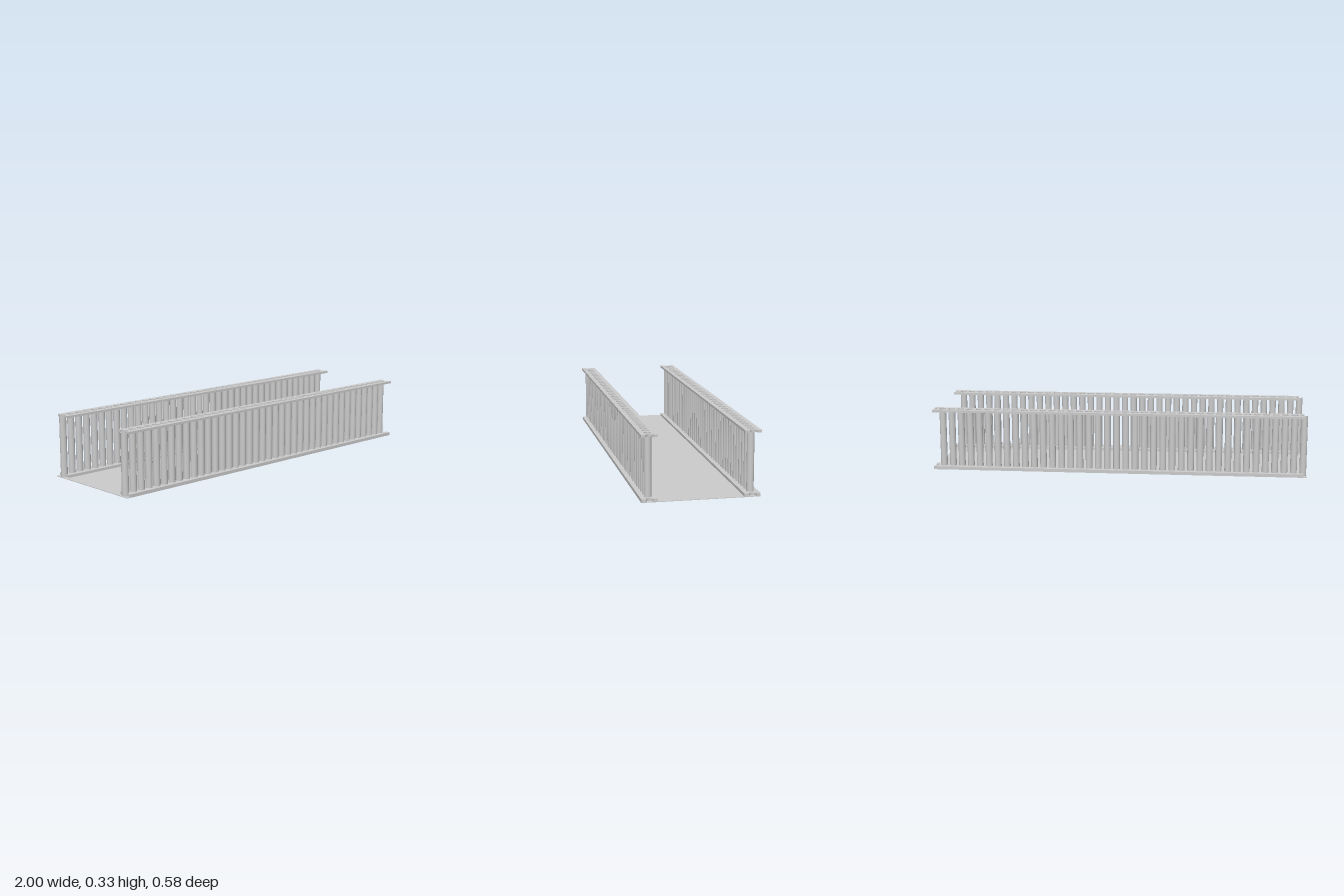
import * as THREE from 'three';

const POSTS = 40, PITCH = 1.98 / POSTS, START = -0.98, END = 1.0;
const RADIUS = 0.018, ROW_Z = 0.252, RAIL_HALF = 0.04;
const BASE_T = 0.003, TOP = 0.327;

// Flat strip pierced by a row of round holes, with half holes at both ends
function railGeometry(thickness) {
  const s = new THREE.Shape();
  s.moveTo(START, -RAIL_HALF);
  s.lineTo(END, -RAIL_HALF);
  s.lineTo(END, -RADIUS);
  s.absarc(END, 0, RADIUS, -Math.PI / 2, -Math.PI * 1.5, true);
  s.lineTo(END, RAIL_HALF);
  s.lineTo(START, RAIL_HALF);
  s.lineTo(START, RADIUS);
  s.absarc(START, 0, RADIUS, Math.PI / 2, -Math.PI / 2, true);
  s.lineTo(START, -RAIL_HALF);
  for (let i = 1; i < POSTS; i++) {
    const hole = new THREE.Path();
    hole.absarc(START + i * PITCH, 0, RADIUS, 0, Math.PI * 2, true);
    s.holes.push(hole);
  }
  const g = new THREE.ExtrudeGeometry(s, { depth: thickness, bevelEnabled: false, curveSegments: 12 });
  return g.rotateX(-Math.PI / 2);
}

export function createModel() {
  const model = new THREE.Group();
  model.name = 'railedWalkway';
  const material = new THREE.MeshStandardMaterial({ color: 0xcccccc });

  const add = (parent, name, geometry, x, y, z) => {
    const mesh = new THREE.Mesh(geometry, material);
    mesh.name = name;
    mesh.position.set(x, y, z);
    parent.add(mesh);
  };

  // Thin floor plate
  add(model, 'floorPlate', new THREE.BoxGeometry(2, BASE_T, 0.584), 0, BASE_T / 2, 0);

  const lowerRail = railGeometry(0.014);
  const upperRail = railGeometry(0.012);
  const height = TOP - BASE_T;
  // Open-ended hollow posts
  const post = new THREE.CylinderGeometry(RADIUS, RADIUS, height, 24, 1, true);

  // One balustrade along each long side
  for (const side of [1, -1]) {
    const row = new THREE.Group();
    row.name = side > 0 ? 'frontBalustrade' : 'backBalustrade';
    row.position.z = side * ROW_Z;
    add(row, 'lowerRail', lowerRail, 0, BASE_T, 0);
    add(row, 'upperRail', upperRail, 0, TOP - 0.012, 0);
    for (let i = 0; i < POSTS; i++) {
      add(row, 'post', post, START + i * PITCH, BASE_T + height / 2, 0);
    }
    model.add(row);
  }
  return model;
}
